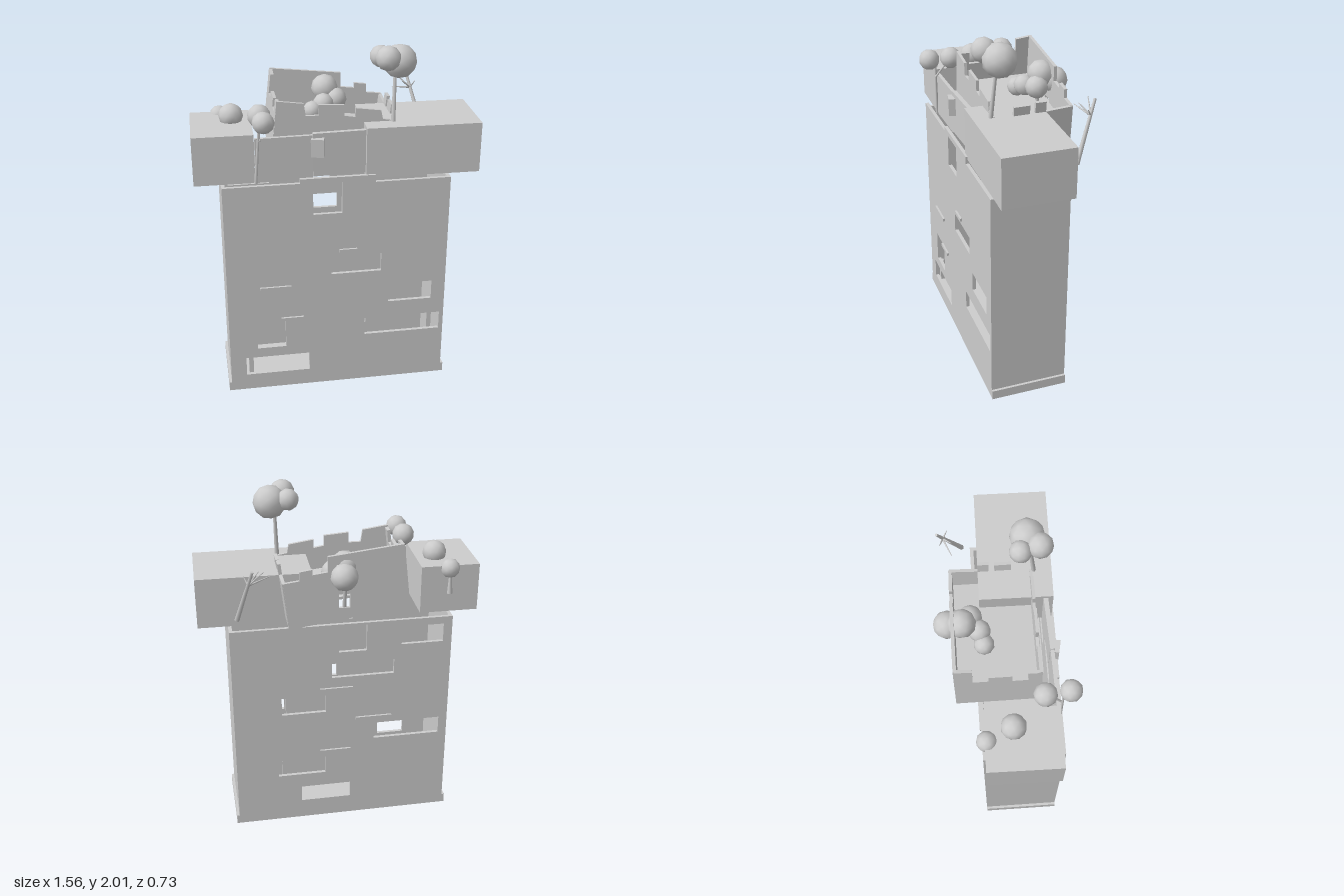
import * as THREE from 'three';

export function createModel() {
  const model = new THREE.Group();
  const grey = new THREE.MeshStandardMaterial({ color: 0xcccccc });
  grey.name = 'plain grey';

  const add = (name, geo, parent = model) => {
    const m = new THREE.Mesh(geo, grey);
    m.name = name;
    parent.add(m);
    return m;
  };
  // Box given by its limits on each axis
  const box = (name, x0, x1, y0, y1, z0, z1, parent) => {
    const m = add(name, new THREE.BoxGeometry(x1 - x0, y1 - y0, z1 - z0), parent);
    m.position.set((x0 + x1) / 2, (y0 + y1) / 2, (z0 + z1) / 2);
    return m;
  };
  // Flat wall from an outline, with rectangular openings [x0, x1, y0, y1]
  const wall = (name, outline, holes, depth, z) => {
    const shape = new THREE.Shape(outline.map(([x, y]) => new THREE.Vector2(x, y)));
    for (const [x0, x1, y0, y1] of holes) {
      shape.holes.push(new THREE.Path([[x0, y0], [x0, y1], [x1, y1], [x1, y0]]
        .map(([x, y]) => new THREE.Vector2(x, y))));
    }
    const m = add(name, new THREE.ExtrudeGeometry(shape, { depth, bevelEnabled: false }));
    m.position.z = z;
    return m;
  };
  // Tapered stick between two points
  const stick = (name, a, b, r0, r1) => {
    const p = new THREE.Vector3(...a), d = new THREE.Vector3(...b).sub(p);
    const m = add(name, new THREE.CylinderGeometry(r1, r0, d.length(), 7));
    m.position.copy(p).addScaledVector(d, 0.5);
    m.quaternion.setFromUnitVectors(new THREE.Vector3(0, 1, 0), d.normalize());
  };
  // Low-sided ball of leaves with smooth shading
  const foliage = (x, y, z, r) => {
    const geo = new THREE.IcosahedronGeometry(r, 1);
    const n = geo.attributes.position.clone();
    for (let i = 0; i < n.count; i++) n.setXYZ(i, n.getX(i) / r, n.getY(i) / r, n.getZ(i) / r);
    geo.setAttribute('normal', n);
    const m = add('foliage', geo);
    m.position.set(x, y, z);
    m.rotation.set(x * 5, z * 7, y);
  };

  // Hollow tower: front and back walls with windows, side walls, floor, plinth
  const outline = [[-0.64, 0], [0.615, 0], [0.615, 1.283], [0.195, 1.283], [0.195, 1.325],
    [-0.22, 1.325], [-0.22, 1.3], [-0.64, 1.3]];
  wall('frontWall', outline, [
    [-0.15, 0.01, 1.11, 1.295], [-0.05, 0.235, 0.73, 0.84], [0.28, 0.535, 0.52, 0.635],
    [0.145, 0.59, 0.31, 0.42], [-0.48, -0.315, 0.275, 0.46], [-0.55, -0.18, 0.1, 0.215],
  ], 0.02, 0.265);
  const backOutline = [[-0.64, 0], [0.615, 0], [0.615, 1.283], [-0.64, 1.283]];
  wall('backWall', backOutline, [
    [-0.15, 0.01, 1.11, 1.27], [-0.59, -0.35, 1.13, 1.24], [-0.31, 0.05, 0.95, 1.04],
    [0.085, 0.34, 0.73, 0.84], [0.09, 0.37, 0.31, 0.42], [-0.59, -0.2, 0.52, 0.625],
    [-0.06, 0.235, 0.12, 0.22],
  ], 0.02, -0.155);
  box('leftSideWall', 0.595, 0.615, 0, 1.283, -0.136, 0.266);
  box('rightSideWall', -0.64, -0.62, 0, 1.283, -0.136, 0.266);
  box('floor', -0.63, 0.605, 0, 0.02, -0.14, 0.27);
  for (const [x0, x1] of [[-0.655, -0.639], [0.614, 0.63]]) box('plinth', x0, x1, 0, 0.055, -0.155, 0.285);

  // Posts behind the windows
  for (const [x, y, z] of [[0.535, 0.365, 0.25], [-0.52, 0.157, 0.25], [0.3, 0.785, -0.12], [0.33, 0.365, -0.12]])
    box('windowPost', x - 0.013, x + 0.013, y - 0.07, y + 0.07, z - 0.012, z + 0.012);

  // Ledges on the front and back
  for (const [x0, x1, y] of [[-0.005, 0.095, 0.878], [-0.455, -0.28, 0.67], [-0.34, -0.21, 0.463]])
    box('frontLedge', x0, x1, y - 0.009, y + 0.009, 0.28, 0.297);
  for (const [x0, x1, y] of [[-0.07, 0.12, 0.878], [-0.3, -0.09, 0.67], [-0.06, 0.12, 0.463]])
    box('backLedge', x0, x1, y - 0.009, y + 0.009, -0.167, -0.15);

  // Overhanging upper blocks and the thin wall joining them
  box('rightBlock', -0.782, -0.455, 1.31, 1.583, -0.14, 0.255).rotation.y = -0.012;
  box('leftBlock', 0.147, 0.777, 1.305, 1.588, -0.118, 0.277).rotation.y = -0.014;
  box('linkWall', -0.455, -0.145, 1.31, 1.56, 0.235, 0.255).rotation.y = 0.02;
  box('linkWall', -0.145, 0.15, 1.325, 1.57, 0.225, 0.25).rotation.y = 0.04;
  box('lantern', -0.155, -0.085, 1.445, 1.545, 0.235, 0.285).rotation.y = -0.2;

  // Leaning ruin with broken battlements
  wall('ruinBackWall', [[-0.36, 1.42], [0.3, 1.335], [0.325, 1.6], [0.24, 1.61], [0.24, 1.66],
    [0.17, 1.67], [0.17, 1.64], [0.09, 1.65], [0.09, 1.735], [-0.315, 1.78]],
  [[-0.03, 0.03, 1.44, 1.52]], 0.018, -0.275);
  wall('ruinFrontWall', [[-0.355, 1.43], [0.3, 1.35], [0.31, 1.59], [0.25, 1.6], [0.24, 1.65],
    [0.1, 1.67], [0.1, 1.62], [0.04, 1.63], [0.04, 1.69], [-0.1, 1.7], [-0.1, 1.64],
    [-0.17, 1.64], [-0.18, 1.71], [-0.325, 1.73]], [], 0.016, 0.155);
  // Side walls are drawn along z, then turned; the lean tips them toward +x
  const sideWall = (name, x, y0, pts) => {
    const m = wall(name, pts, [], 0.018, 0);
    const lean = new THREE.Group();
    lean.name = name + 'Lean';
    m.rotation.y = -Math.PI / 2;
    lean.position.set(x, y0, 0);
    lean.rotation.z = -0.115;
    lean.add(m);
    model.add(lean);
  };
  sideWall('ruinRightWall', -0.342, 1.42, [[-0.27, 0], [0.165, 0], [0.165, 0.3], [0.1, 0.3], [0.1, 0.23],
    [0.02, 0.23], [0.02, 0.28], [-0.1, 0.28], [-0.1, 0.24], [-0.18, 0.24], [-0.18, 0.35], [-0.27, 0.36]]);
  sideWall('ruinLeftWall', 0.302, 1.34, [[-0.27, 0], [0.165, 0], [0.165, 0.23], [0.06, 0.23], [0.06, 0.3],
    [-0.03, 0.3], [-0.03, 0.24], [-0.06, 0.24], [-0.06, 0.31], [-0.12, 0.31], [-0.12, 0.25], [-0.27, 0.26]]);
  box('ruinFloor', -0.335, 0.305, 1.49, 1.505, -0.265, 0.16).rotation.z = -0.115;

  // Trees: trunks, then crowns
  stick('trunk', [0.305, 1.57, 0.18], [0.315, 1.86, 0.15], 0.013, 0.009);
  stick('trunk', [-0.455, 1.31, 0.262], [-0.43, 1.63, 0.27], 0.009, 0.006);
  stick('trunk', [-0.43, 1.55, 0.27], [-0.42, 1.65, 0.19], 0.006, 0.005);
  stick('trunk', [0, 1.42, -0.255], [0, 1.62, -0.3], 0.012, 0.008);
  stick('trunk', [-0.01, 1.47, -0.2], [-0.01, 1.66, -0.2], 0.012, 0.008);
  stick('trunk', [-0.615, 1.42, -0.145], [-0.615, 1.55, -0.14], 0.016, 0.006);
  for (const ball of [
    [0.34, 1.91, 0.14, 0.093], [0.265, 1.945, 0.2, 0.068], [0.245, 1.93, 0.1, 0.06],
    [-0.41, 1.667, 0.31, 0.06], [-0.42, 1.66, 0.18, 0.063],
    [-0.56, 1.61, 0.01, 0.068], [-0.615, 1.565, -0.13, 0.055],
    [0.005, 1.625, -0.295, 0.075], [-0.01, 1.665, -0.22, 0.077], [0.045, 1.61, -0.175, 0.065],
    [-0.03, 1.6, -0.13, 0.06], [-0.095, 1.57, -0.11, 0.055],
  ]) foliage(...ball);

  // Bare tree leaning off the back
  stick('deadTrunk', [0.57, 1.38, -0.2], [0.488, 1.7, -0.325], 0.014, 0.008);
  for (const tip of [[0.39, 1.64, -0.25], [0.43, 1.69, -0.31], [0.45, 1.67, -0.25], [0.53, 1.66, -0.27]])
    stick('deadBranch', [0.508, 1.615, -0.295], tip, 0.006, 0.002);

  return model;
}
